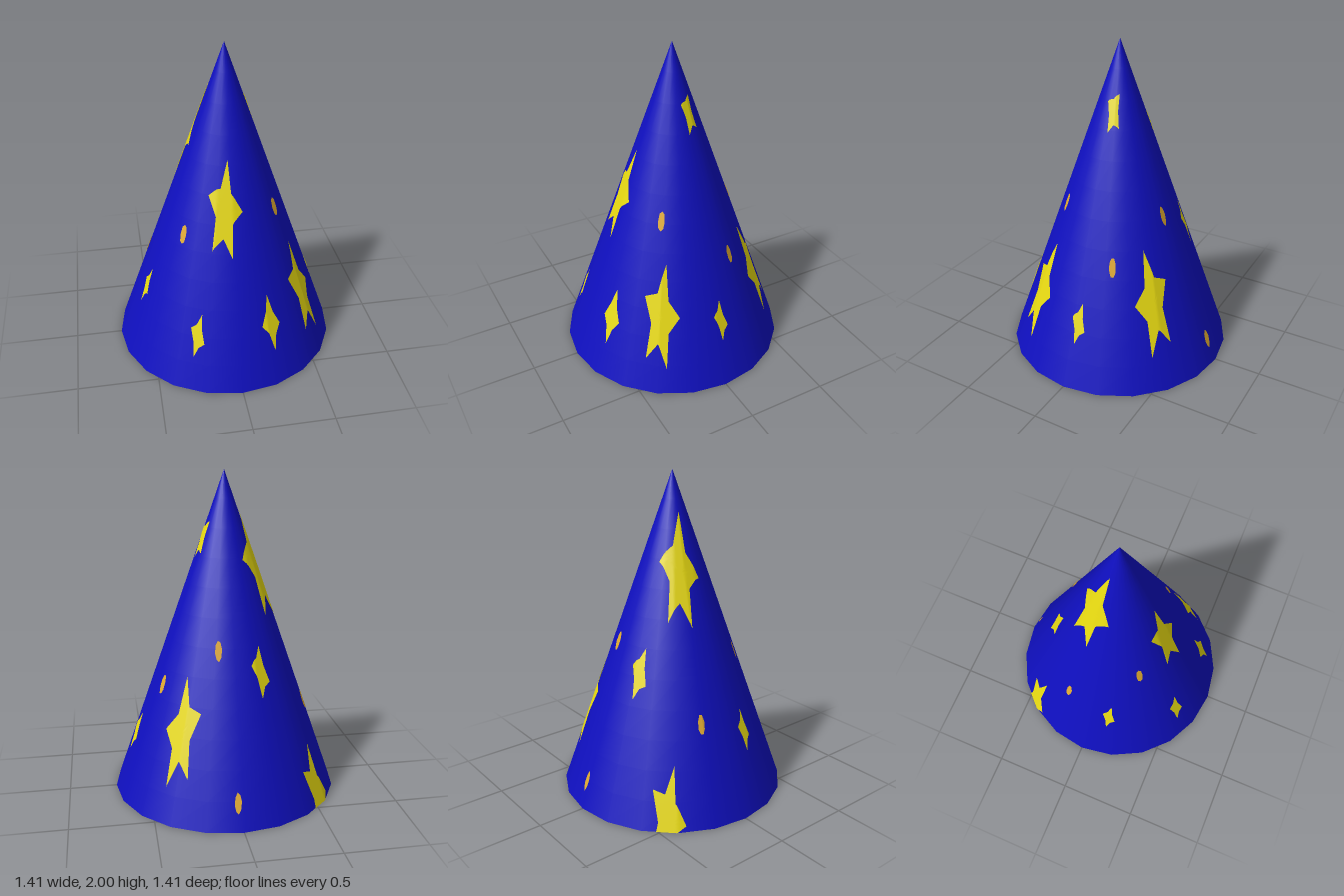
import * as THREE from 'three';

const R = 0.705, H = 2, SIDES = 20;
const INNER = 0.71, INNER_H = 1.6; // cavity: share of the base radius, and height

const blue = new THREE.MeshStandardMaterial({ color: 0x0f0fc0 });
blue.name = 'feltBlue';
const cavityBlue = blue.clone();
cavityBlue.side = THREE.BackSide;
const yellow = new THREE.MeshStandardMaterial({ color: 0xeee012, side: THREE.DoubleSide });
yellow.name = 'starYellow';
const gold = new THREE.MeshStandardMaterial({ color: 0xe0aa30, side: THREE.DoubleSide });
gold.name = 'dotGold';

// Distance from the axis as a share of the many-sided base outline
function gauge(x, z) {
  const step = (Math.PI * 2) / SIDES;
  const a = Math.atan2(z, x);
  const off = a - (Math.floor(a / step) + 0.5) * step;
  return (Math.hypot(x, z) * Math.cos(off)) / (R * Math.cos(step / 2));
}

// Rules that lay a flat point (x, z) onto a surface of the hat
function onOutside(x, z) {
  const g = gauge(x, z), k = g > 1 ? 1 / g : 1;
  const a = Math.atan2(z, x), lift = 0.004;
  return [x * k + Math.cos(a) * lift * 0.94, H * (1 - g * k) + lift * 0.33, z * k + Math.sin(a) * lift * 0.94];
}
function onInside(x, z) {
  const g = gauge(x, z), k = (g > 1 ? 1 / g : 1) * INNER;
  const a = Math.atan2(z, x), lift = 0.005;
  return [x * k - Math.cos(a) * lift, INNER_H * (1 - Math.min(g, 1)), z * k - Math.sin(a) * lift];
}
function onRim(x, z) {
  const g = gauge(x, z);
  const k = g > 1 ? 1 / g : g < INNER ? INNER / g : 1;
  return [x * k, 0, z * k];
}

// Star patch: fine rings from its centre to its outline, laid on a surface
function starPatch({ x, z, r, turn, tips, inner }, place) {
  const rings = 8, per = 6, count = tips * 2 * per;
  const corner = (i) => {
    const a = THREE.MathUtils.degToRad(turn) + (i * Math.PI) / tips;
    const d = i % 2 ? r * inner : r;
    return new THREE.Vector2(Math.cos(a) * d, Math.sin(a) * d);
  };
  const pos = [...place(x, z)], index = [];
  for (let ring = 1; ring <= rings; ring++) {
    for (let i = 0; i < count; i++) {
      const c = Math.floor(i / per);
      const p = corner(c).lerp(corner(c + 1), (i % per) / per).multiplyScalar(ring / rings);
      pos.push(...place(x + p.x, z + p.y));
    }
  }
  for (let i = 0; i < count; i++) {
    const j = (i + 1) % count;
    index.push(0, 1 + j, 1 + i);
    for (let ring = 0; ring < rings - 1; ring++) {
      const a = 1 + ring * count, b = a + count;
      index.push(a + i, a + j, b + i, a + j, b + j, b + i);
    }
  }
  const g = new THREE.BufferGeometry();
  g.setAttribute('position', new THREE.Float32BufferAttribute(pos, 3));
  g.setIndex(index);
  g.computeVertexNormals();
  return g;
}

const five = (x, z, r, turn) => ({ x, z, r, turn, tips: 5, inner: 0.5, name: 'bigStar' });
const four = (x, z, r, turn) => ({ x, z, r, turn, tips: 4, inner: 0.56, name: 'smallStar' });
const dot = (x, z) => ({ x, z, r: 0.021, turn: 0, tips: 4, inner: 0.95, name: 'dot' });

const marks = [
  five(-0.178, -0.09, 0.12, 180),
  five(-0.05, 0.32, 0.105, 0),
  five(0.44, 0.315, 0.115, 10),
  five(0.32, -0.41, 0.115, 45),
  five(-0.51, -0.445, 0.11, -12),
  four(-0.154, -0.37, 0.056, -4),
  four(0.135, -0.034, 0.046, -70),
  four(0.562, -0.034, 0.046, -80),
  four(-0.517, 0.138, 0.044, -85),
  four(-0.25, 0.523, 0.049, 45),
  four(0.2, 0.53, 0.062, 70),
  dot(0.026, -0.645), dot(0.09, -0.343), dot(-0.472, -0.162),
  dot(0.402, -0.177), dot(-0.287, 0.253), dot(0.268, 0.215),
];

export function createModel() {
  const hat = new THREE.Group();
  hat.name = 'partyHat';
  const add = (name, geometry, material) => {
    const mesh = new THREE.Mesh(geometry, material);
    mesh.name = name;
    hat.add(mesh);
    return mesh;
  };

  // Outer cone, hollow inside, and the flat rim joining them
  add('outerCone', new THREE.ConeGeometry(R, H, SIDES, 12, true).translate(0, H / 2, 0), blue);
  add('cavity', new THREE.ConeGeometry(R * INNER, INNER_H, SIDES, 8, true).translate(0, INNER_H / 2, 0), cavityBlue);
  add('rim', new THREE.RingGeometry(R * INNER, R, SIDES).rotateX(Math.PI / 2).translate(0, 0.004, 0), blue);

  // Stars and dots outside, repeated smaller in the hollow
  for (const mark of marks) {
    const material = mark.name === 'dot' ? gold : yellow;
    add(mark.name, starPatch(mark, onOutside), material);
    add(mark.name + 'Inside', starPatch(mark, onInside), material);
  }
  // Two stars run over onto the rim
  for (const i of [2, 10]) add('rimStar', starPatch(marks[i], onRim), yellow);

  return hat;
}
